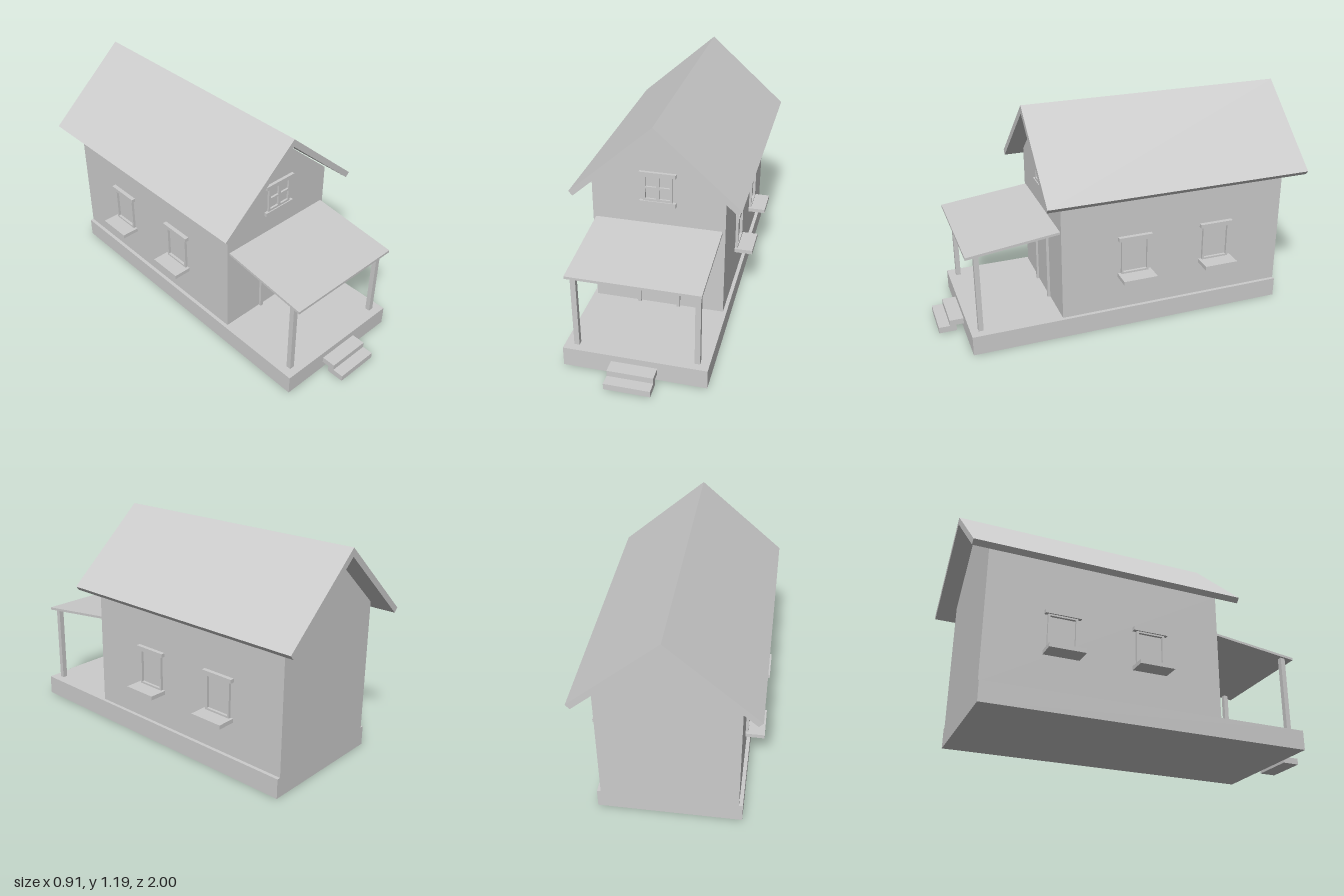
import * as THREE from 'three';

const material = new THREE.MeshStandardMaterial({ color: 0xcccccc, flatShading: true });

function add(parent, name, geometry) {
  const mesh = new THREE.Mesh(geometry, material);
  mesh.name = name;
  parent.add(mesh);
  return mesh;
}

// Box given by its lower and upper limits on each axis
function box(parent, name, [x0, x1], [y0, y1], [z0, z1]) {
  const mesh = add(parent, name, new THREE.BoxGeometry(x1 - x0, y1 - y0, z1 - z0));
  mesh.position.set((x0 + x1) / 2, (y0 + y1) / 2, (z0 + z1) / 2);
  return mesh;
}

const outline = (points) => points.map(([x, y]) => new THREE.Vector2(x, y));
const rect = (x0, x1, y0, y1) => outline([[x0, y0], [x1, y0], [x1, y1], [x0, y1]]);

// Extrudes an outline from z0 to z1, with optional holes
function slab(points, z0, z1, holes = []) {
  const shape = new THREE.Shape(points);
  holes.forEach((hole) => shape.holes.push(new THREE.Path(hole)));
  return new THREE.ExtrudeGeometry(shape, { depth: z1 - z0, bevelEnabled: false }).translate(0, 0, z0);
}

// Side window built facing +z, its back on z = 0
function sideWindow() {
  const group = new THREE.Group();
  group.name = 'sideWindow';
  add(group, 'windowFrame', slab(rect(-0.078, 0.078, 0.317, 0.513), 0, 0.015,
    [rect(-0.067, 0.067, 0.327, 0.503)]));
  box(group, 'windowLintel', [-0.095, 0.095], [0.512, 0.533], [0, 0.023]);
  box(group, 'windowSill', [-0.095, 0.095], [0.295, 0.317], [0, 0.1]);
  return group;
}

export function createModel() {
  const house = new THREE.Group();
  house.name = 'house';

  // Foundation that extends forward as the porch floor
  box(house, 'foundation', [-0.375, 0.375], [0, 0.107], [-0.9, 0.865]);

  // Walls with gabled ends
  add(house, 'walls', slab(outline([
    [-0.355, 0.107], [0.355, 0.107], [0.355, 0.822], [0, 1.135], [-0.355, 0.822],
  ]), -0.9, 0.375));

  // Pitched roof
  add(house, 'roof', slab(outline([
    [0, 1.146], [0.429, 0.767], [0.45, 0.791], [0, 1.19], [-0.45, 0.791], [-0.429, 0.767],
  ]), -1, 0.468));

  // Sloping porch roof: profile in (-z, y), turned to run along x
  const porchRoof = slab(outline([
    [-0.867, 0.535], [-0.375, 0.595], [-0.375, 0.608], [-0.867, 0.549],
  ]), -0.34, 0.34);
  add(house, 'porchRoof', porchRoof.rotateY(Math.PI / 2));

  // Porch posts
  for (const side of [-1, 1]) {
    const post = box(house, 'porchPost', [-0.014, 0.014], [0.107, 0.545], [0.797, 0.823]);
    post.position.x = side * 0.314;
  }

  // Front steps
  box(house, 'lowerStep', [-0.12, 0.12], [0.006, 0.04], [0.905, 1]);
  box(house, 'upperStep', [-0.12, 0.12], [0.04, 0.072], [0.865, 0.94]);

  // Door casing and door
  add(house, 'doorFrame', slab(outline([
    [-0.118, 0.107], [-0.1, 0.107], [-0.1, 0.488], [0.1, 0.488],
    [0.1, 0.107], [0.118, 0.107], [0.118, 0.507], [-0.118, 0.507],
  ]), 0.375, 0.39));
  box(house, 'door', [-0.1, 0.1], [0.11, 0.488], [0.37, 0.378]);

  // Gable window with four panes
  const gable = new THREE.Group();
  gable.name = 'gableWindow';
  house.add(gable);
  const panes = [];
  for (const [x0, x1] of [[-0.065, -0.008], [0.008, 0.065]]) {
    for (const [y0, y1] of [[0.756, 0.812], [0.824, 0.878]]) panes.push(rect(x0, x1, y0, y1));
  }
  add(gable, 'gableWindowFrame', slab(rect(-0.077, 0.077, 0.744, 0.888), 0.375, 0.386, panes));
  box(gable, 'gableWindowLintel', [-0.097, 0.097], [0.887, 0.908], [0.375, 0.392]);
  box(gable, 'gableWindowSill', [-0.097, 0.097], [0.722, 0.744], [0.375, 0.392]);

  // Two windows on each side wall
  for (const side of [-1, 1]) {
    for (const z of [-0.03, -0.505]) {
      const win = sideWindow();
      win.position.set(side * 0.355, 0, z);
      win.rotation.y = side * Math.PI / 2;
      house.add(win);
    }
  }

  return house;
}
